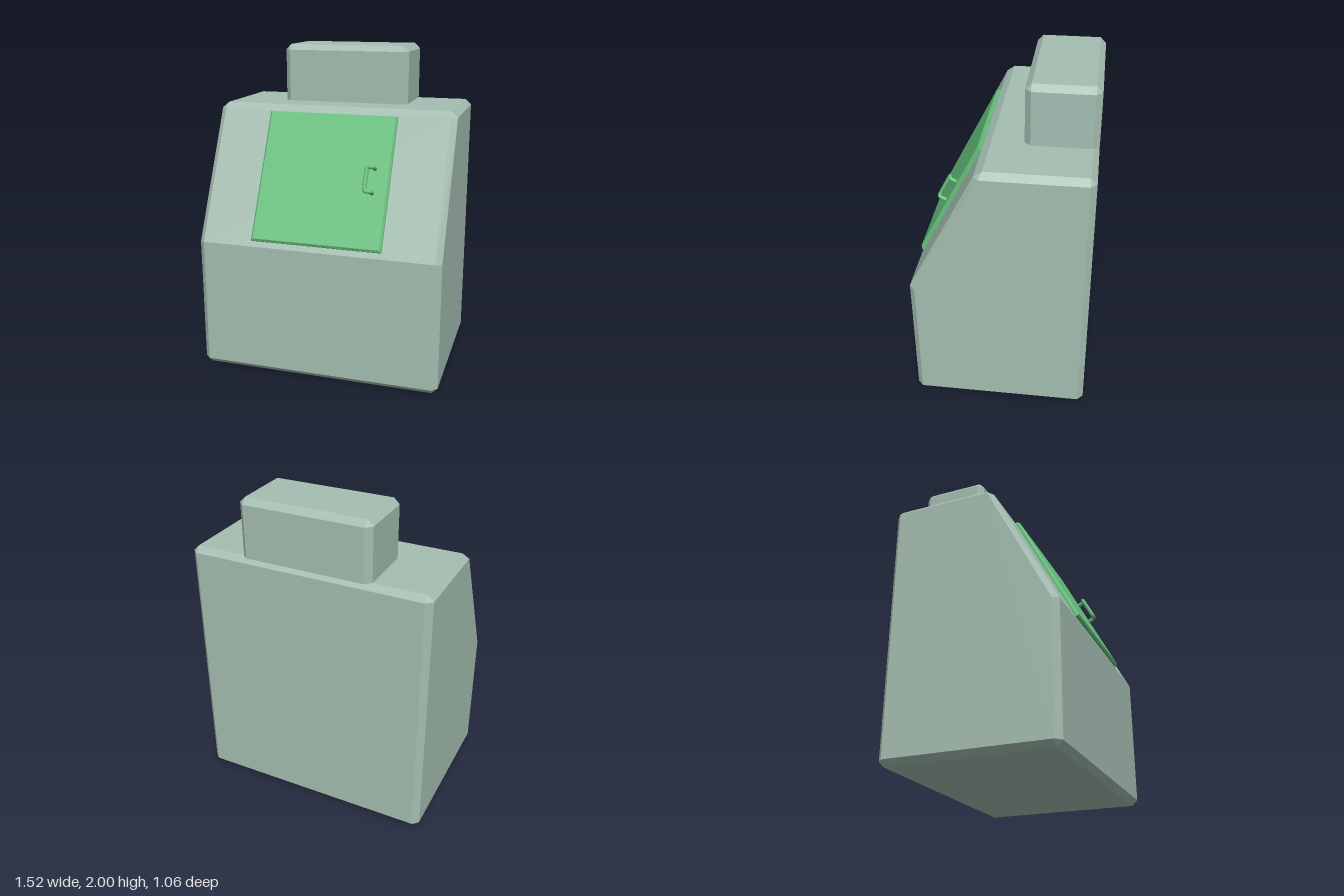
import * as THREE from 'three';
import { ConvexGeometry } from 'three/addons/geometries/ConvexGeometry.js';

const V = (x, y, z) => new THREE.Vector3(x, y, z);

function addMesh(parent, name, geometry, material) {
  const mesh = new THREE.Mesh(geometry, material);
  mesh.name = name;
  parent.add(mesh);
  return mesh;
}

// Hull of [z, y] profiles, each mirrored to both sides at +-x.
function mirroredHull(sections) {
  const points = [];
  for (const [x, profile] of sections)
    for (const [z, y] of profile) points.push(V(x, y, z), V(-x, y, z));
  return new ConvexGeometry(points);
}

// Chamfered hopper: bevelled upright edges and top, open underneath.
function hopperGeometry(halfX, y0, y1, z0, z1, c) {
  const points = [];
  const zm = (z0 + z1) / 2, halfZ = (z1 - z0) / 2;
  for (const sx of [-1, 1]) for (const sz of [-1, 1]) {
    for (const y of [y0, y1 - c]) {
      points.push(V(sx * halfX, y, zm + sz * (halfZ - c)));
      points.push(V(sx * (halfX - c), y, zm + sz * halfZ));
    }
    points.push(V(sx * (halfX - c), y1, zm + sz * (halfZ - c)));
  }
  const hull = new ConvexGeometry(points);
  const p = hull.attributes.position, kept = [];
  for (let i = 0; i < p.count; i += 3) {
    if (Math.max(p.getY(i), p.getY(i + 1), p.getY(i + 2)) < y0 + 1e-4) continue;
    for (let j = i; j < i + 3; j++) kept.push(p.getX(j), p.getY(j), p.getZ(j));
  }
  const geometry = new THREE.BufferGeometry();
  geometry.setAttribute('position', new THREE.Float32BufferAttribute(kept, 3));
  geometry.computeVertexNormals();
  return geometry;
}

// Polyline with its inner corners rounded off.
function roundedPath(points, r) {
  const path = new THREE.CurvePath();
  let start = points[0];
  for (let i = 1; i < points.length - 1; i++) {
    const corner = points[i];
    const a = corner.clone().add(points[i - 1].clone().sub(corner).setLength(r));
    const b = corner.clone().add(points[i + 1].clone().sub(corner).setLength(r));
    path.add(new THREE.LineCurve3(start, a));
    path.add(new THREE.QuadraticBezierCurve3(a, corner, b));
    start = b;
  }
  path.add(new THREE.LineCurve3(start, points[points.length - 1]));
  return path;
}

export function createModel() {
  const model = new THREE.Group();
  model.name = 'slopedCabinet';
  const shell = new THREE.MeshStandardMaterial({ color: 0xa5beb1, side: THREE.DoubleSide });
  const green = new THREE.MeshStandardMaterial({ color: 0x66c07c });

  // Cabinet body: flat sides, inset by a chamfer from the main profile
  const sideFace = [[0.495, 0.035], [0.495, 0.82], [0.1, 1.605], [-0.495, 1.605], [-0.495, 0.035]];
  const rim = [
    [0.495, 0], [0.53, 0.035], [0.53, 0.828], [0.13, 1.605], [0.08, 1.64],
    [-0.495, 1.64], [-0.53, 1.605], [-0.53, 0.035], [-0.495, 0],
  ];
  addMesh(model, 'cabinetBody', mirroredHull([[0.76, sideFace], [0.723, rim]]), shell);

  // Box on top, flush with the back
  addMesh(model, 'topBox', hopperGeometry(0.407, 1.64, 2, -0.53, -0.108, 0.035), shell);

  // Door assembly lying on the slope: local y runs up it, local z points out
  const door = new THREE.Group();
  door.name = 'door';
  door.position.set(0, 1.228, 0.324);
  door.rotation.x = -Math.atan2(0.4, 0.777);
  model.add(door);

  const h = 0.414, t = 0.025, c = 0.012;
  const panelSide = [[-0.005, -h], [-0.005, h], [t - c, h], [t - c, -h]];
  const panelFront = [[t, c - h], [t, h - c]];
  addMesh(door, 'doorPanel', mirroredHull([[0.407, panelSide], [0.407 - c, panelFront]]), green);

  // Bent rod handle: both feet rise from the panel, then turn in to the grip
  const lo = -0.068, hi = 0.082, out = 0.07;
  const path = roundedPath([
    V(0.31, lo, 0.015), V(0.31, lo, out), V(0.273, lo, out),
    V(0.273, hi, out), V(0.31, hi, out), V(0.31, hi, 0.015),
  ], 0.016);
  addMesh(door, 'doorHandle', new THREE.TubeGeometry(path, 64, 0.013, 8), green);

  return model;
}
